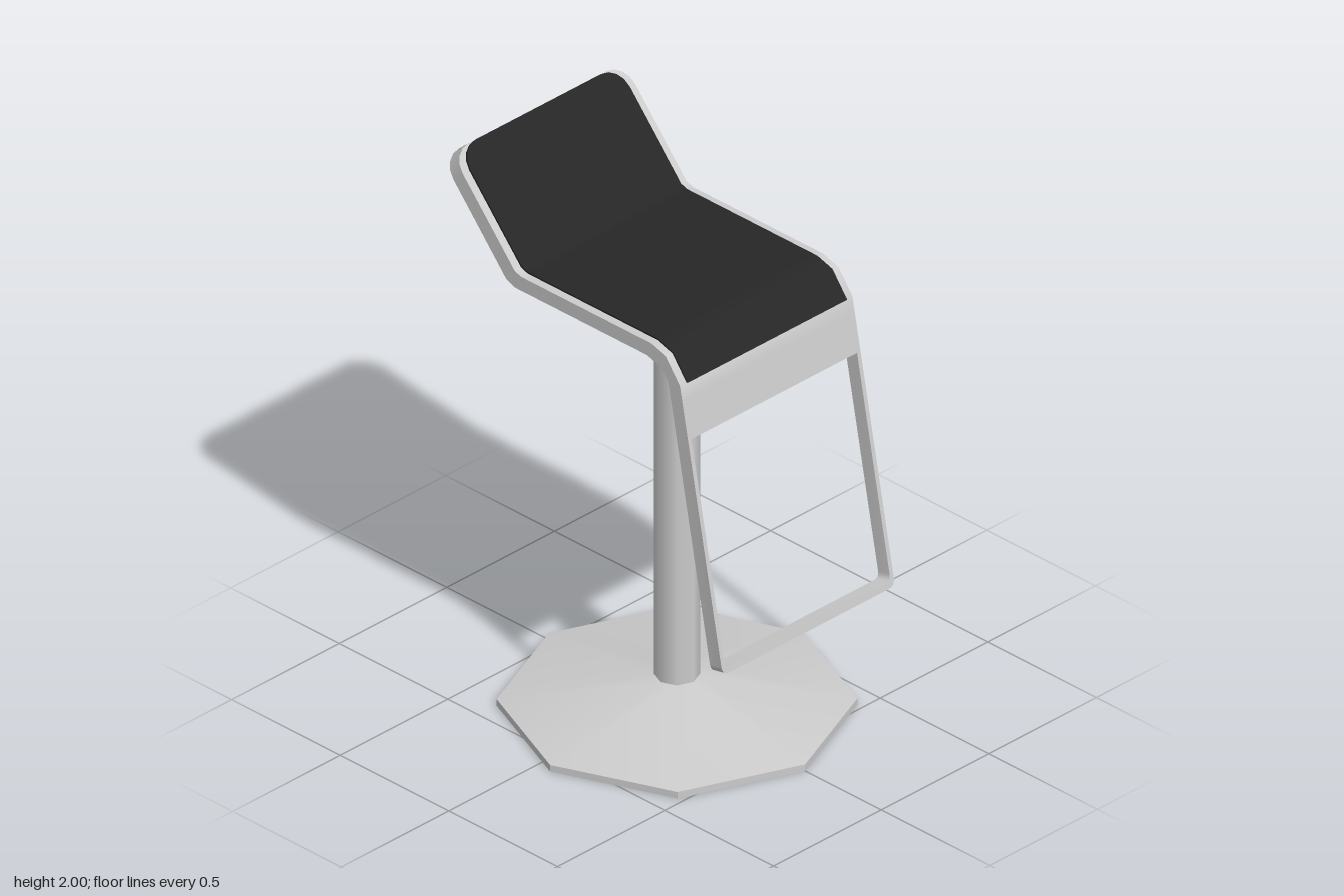
import * as THREE from 'three';
import { toCreasedNormals } from 'three/addons/utils/BufferGeometryUtils.js';

const SEAT_X = 0.02, COLUMN_Z = 0.06, TILT = 0.189;

// Side profile of the seat shell, front to back: [outer z, outer y, inner z, inner y]
const PROFILE = [
  [0.461, 1.5, 0.408, 1.49],
  [0.451, 1.55, 0.398, 1.54],
  [0.387, 1.634, 0.366, 1.581],
  [0.318, 1.655, 0.297, 1.602],
  [0.29, 1.655, 0.275, 1.602],
  [-0.255, 1.655, -0.28, 1.602],
  [-0.281, 1.655, -0.313, 1.602],
  [-0.311, 1.665, -0.35, 1.618],
  [-0.33, 1.687, -0.371, 1.642],
  [-0.603, 1.995, -0.647, 1.956],
];

// Swept ribbon whose far end has rounded corners
function ribbon(profile, halfWidth, radius) {
  const end = profile[profile.length - 1], prev = profile[profile.length - 2];
  const length = Math.hypot(end[0] - prev[0], end[1] - prev[1]);
  const sections = profile.slice(0, -1).map(p => ({ p, w: halfWidth }));
  const steps = 4;
  for (let k = 0; k <= steps; k++) {
    const a = (k / steps) * Math.PI / 2;
    const t = 1 - radius * (1 - Math.sin(a)) / length;
    sections.push({
      p: end.map((v, i) => prev[i] + (v - prev[i]) * t),
      w: halfWidth - radius * (1 - Math.cos(a)),
    });
  }
  const pos = [], idx = [];
  sections.forEach(({ p: [oz, oy, iz, iy], w }, j) => {
    pos.push(w, oy, oz, -w, oy, oz, -w, iy, iz, w, iy, iz);
    if (j === sections.length - 1) return;
    for (let k = 0; k < 4; k++) {
      const a = j * 4 + k, b = j * 4 + (k + 1) % 4;
      idx.push(a, a + 4, b, b, a + 4, b + 4);
    }
  });
  const e = (sections.length - 1) * 4;
  idx.push(0, 1, 2, 0, 2, 3, e, e + 2, e + 1, e, e + 3, e + 2);
  const geo = new THREE.BufferGeometry();
  geo.setAttribute('position', new THREE.Float32BufferAttribute(pos, 3));
  geo.setIndex(idx);
  return toCreasedNormals(geo, 0.7);
}

// Outline hanging from y = top to y = bottom with rounded lower corners
function hangingOutline(target, w, top, bottom, r) {
  target.moveTo(-w, top);
  target.lineTo(-w, bottom + r);
  target.quadraticCurveTo(-w, bottom, -w + r, bottom);
  target.lineTo(w - r, bottom);
  target.quadraticCurveTo(w, bottom, w, bottom + r);
  target.lineTo(w, top);
  target.closePath();
  return target;
}

export function createModel() {
  const model = new THREE.Group();
  model.name = 'barStool';
  const grey = new THREE.MeshStandardMaterial({ color: 0xcccccc });
  const greyFlat = new THREE.MeshStandardMaterial({ color: 0xcccccc, flatShading: true });
  const black = new THREE.MeshStandardMaterial({ color: 0x262626 });

  const add = (name, geo, mat, x, y, z) => {
    const mesh = new THREE.Mesh(geo, mat);
    mesh.name = name;
    mesh.position.set(x, y, z);
    model.add(mesh);
    return mesh;
  };

  // Eight-sided base and column
  add('baseRim', new THREE.CylinderGeometry(0.59, 0.59, 0.025, 8), greyFlat, 0, 0.0125, COLUMN_Z);
  add('baseCone', new THREE.CylinderGeometry(0.077, 0.59, 0.097, 8, 1, true), grey, 0, 0.0735, COLUMN_Z);
  add('column', new THREE.CylinderGeometry(0.077, 0.077, 1.5, 8), grey, 0, 0.86, COLUMN_Z);

  // Bent seat and backrest
  add('seatShell', ribbon(PROFILE, 0.4, 0.08), grey, SEAT_X, 0, 0);

  // Thin pad lying on the outer face of the shell
  const padProfile = PROFILE.slice(1).map(([oz, oy, iz, iy]) =>
    [oz + (oz - iz) * 0.12, oy + (oy - iy) * 0.12, oz - (oz - iz) * 0.1, oy - (oy - iy) * 0.1]);
  add('seatPad', ribbon(padProfile, 0.37, 0.08), black, SEAT_X, 0, 0);

  // Front apron continuing down into the footrest loop
  const apron = hangingOutline(new THREE.Shape(), 0.4, 0, -0.992, 0.03);
  apron.holes.push(hangingOutline(new THREE.Path(), 0.384, -0.147, -0.967, 0.025));
  const loop = new THREE.ExtrudeGeometry(apron, { depth: 0.054, bevelEnabled: false, curveSegments: 4 });
  loop.translate(0, 0, -0.054);
  const footrest = add('footrestLoop', toCreasedNormals(loop, 0.7), grey, SEAT_X, 1.5, 0.461);
  footrest.rotation.x = -TILT;

  return model;
}
